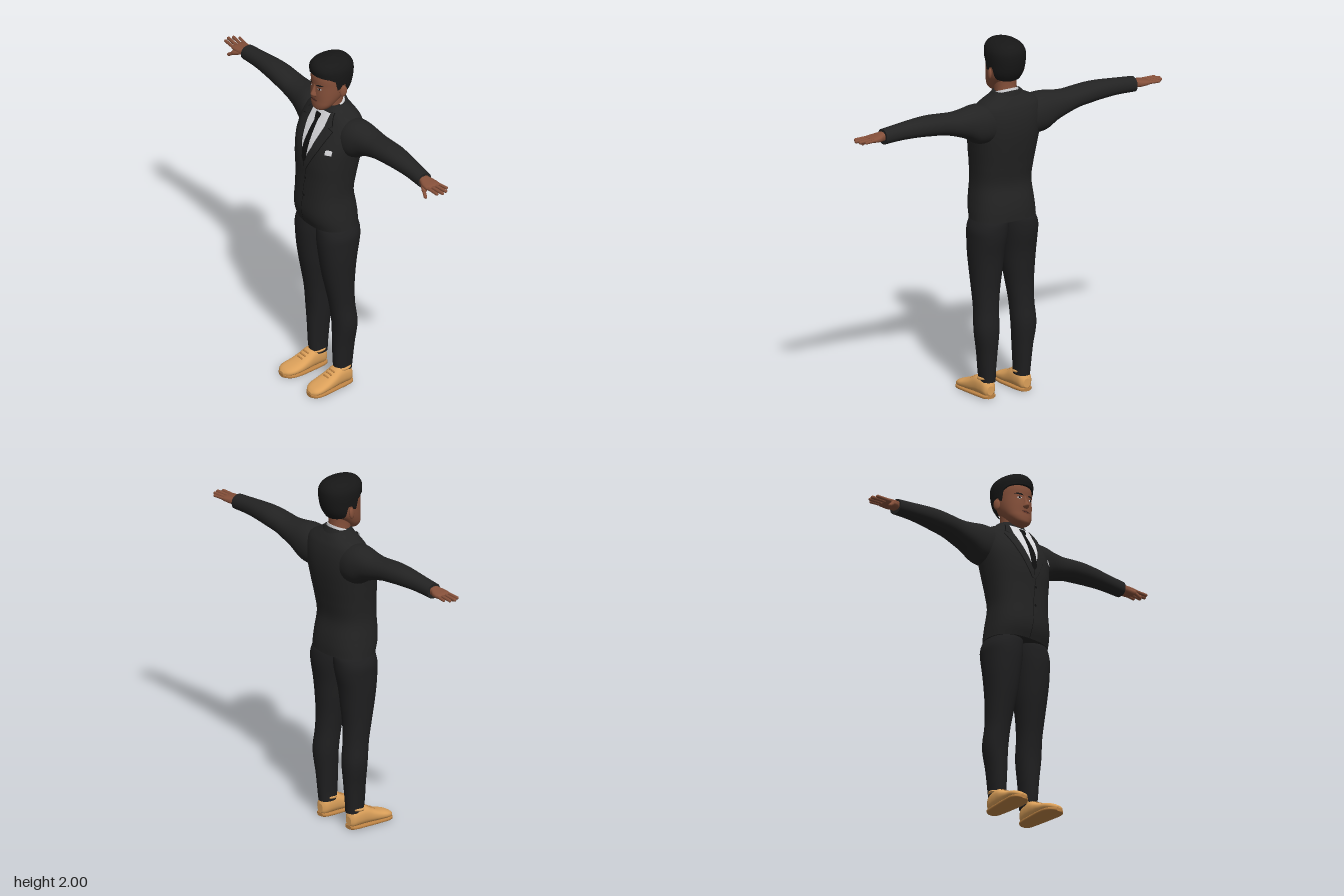
import * as THREE from 'three';

const mat = (name, color) => {
  const m = new THREE.MeshStandardMaterial({ color });
  m.name = name;
  return m;
};

// Smooth interpolation of the columns of a table whose first column is the position
function sample(table, s) {
  let k = 0;
  while (k < table.length - 2 && s > table[k + 1][0]) k++;
  const p = table[k], q = table[k + 1], h = q[0] - p[0];
  const t = Math.min(1, Math.max(0, (s - p[0]) / h));
  const slope = (i, c) => {
    const a = table[Math.max(0, i - 1)], b = table[Math.min(table.length - 1, i + 1)];
    return (b[c] - a[c]) / (b[0] - a[0]);
  };
  const t2 = t * t, t3 = t2 * t;
  return p.map((_, c) => c === 0 ? s :
    (2 * t3 - 3 * t2 + 1) * p[c] + (t3 - 2 * t2 + t) * h * slope(k, c) +
    (3 * t2 - 2 * t3) * q[c] + (t3 - t2) * h * slope(k + 1, c));
}

// Piecewise linear lookup, ascending positions
function linear(table, s, c = 1) {
  let k = 0;
  while (k < table.length - 2 && s > table[k + 1][0]) k++;
  const p = table[k], q = table[k + 1];
  return p[c] + (q[c] - p[c]) * Math.min(1, Math.max(0, (s - p[0]) / (q[0] - p[0])));
}

const AXES = { y: (s, a, b) => [a, s, b], x: (s, a, b) => [s, a, b], z: (s, a, b) => [a, b, s] };

function meshData(pos, idx) {
  const g = new THREE.BufferGeometry();
  g.setAttribute('position', new THREE.Float32BufferAttribute(pos, 3));
  g.setIndex(idx);
  g.computeVertexNormals();
  return g;
}

// Skin over rounded cross-sections; rows are [s, a0, a1, b0, b1]
function loft(table, { axis = 'y', n = 2.2, rows = 40, seg = 40, low = null, shear = 0 } = {}) {
  const pos = [], idx = [], end = table[table.length - 1][0];
  const pw = v => Math.sign(v) * Math.abs(v) ** (2 / n);
  const tri = (a, b, c) => axis === 'y' ? idx.push(a, b, c) : idx.push(a, c, b);
  for (let i = 0; i <= rows; i++) for (let j = 0; j < seg; j++) {
    const t = j / seg * Math.PI * 2;
    const start = low ? low(Math.sin(t)) : table[0][0];
    const [s, a0, a1, b0, b1] = sample(table, start + (end - start) * i / rows);
    const k = low && i === 0 ? 0.45 : 0.5; // tuck a free rim inwards
    const a = (a0 + a1) / 2 + (a1 - a0) * k * pw(Math.cos(t));
    const b = (b0 + b1) / 2 + (b1 - b0) * k * pw(Math.sin(t));
    pos.push(...AXES[axis](s - shear * (b + 0.05), a, b));
  }
  for (let i = 0; i < rows; i++) for (let j = 0; j < seg; j++) {
    const p = i * seg + j, q = i * seg + (j + 1) % seg;
    tri(p, p + seg, q);
    tri(q, p + seg, q + seg);
  }
  // End caps with their own corners
  for (const i of low ? [rows] : [0, rows]) {
    const base = pos.length / 3, mid = [0, 0, 0];
    for (let j = 0; j < seg; j++) for (let c = 0; c < 3; c++) {
      const v = pos[(i * seg + j) * 3 + c];
      pos.push(v);
      mid[c] += v / seg;
    }
    pos.push(...mid);
    for (let j = 0; j < seg; j++) {
      const p = base + j, q = base + (j + 1) % seg;
      i === 0 ? tri(base + seg, p, q) : tri(base + seg, q, p);
    }
  }
  return meshData(pos, idx);
}

// Thin plate laid over the front of a loft; points are [y, xLeft, xRight], top to bottom
function drape(table, n, points, off, side = 1) {
  const pos = [], idx = [], cols = 8, sub = 6, rows = (points.length - 1) * sub;
  for (let i = 0; i <= rows; i++) {
    const k = Math.min(points.length - 2, Math.floor(i / sub)), t = i / sub - k;
    let [y, l, r] = points[k].map((v, c) => v + (points[k + 1][c] - v) * t);
    if (side < 0) [l, r] = [-r, -l];
    const [, x0, x1, z0, z1] = sample(table, y);
    for (let j = 0; j <= cols; j++) {
      const x = l + (r - l) * j / cols;
      const u = Math.min(1, Math.abs((x - (x0 + x1) / 2) / ((x1 - x0) / 2)));
      pos.push(x, y, (z0 + z1) / 2 + (z1 - z0) / 2 * (1 - u ** n) ** (1 / n) + off);
      if (i < rows && j < cols) {
        const p = i * (cols + 1) + j, q = p + cols + 1;
        idx.push(p, q, p + 1, p + 1, q, q + 1);
      }
    }
  }
  return meshData(pos, idx);
}

function mirrored(geo) {
  const g = geo.clone().scale(-1, 1, 1), ix = g.index.array;
  for (let i = 0; i < ix.length; i += 3) [ix[i], ix[i + 1]] = [ix[i + 1], ix[i]];
  g.computeVertexNormals();
  return g;
}

function capsule(a, b, r) {
  const p = new THREE.Vector3(...a), q = new THREE.Vector3(...b), d = q.clone().sub(p);
  const g = new THREE.CapsuleGeometry(r, Math.max(0.001, d.length() - r), 5, 12);
  g.applyQuaternion(new THREE.Quaternion().setFromUnitVectors(new THREE.Vector3(0, 1, 0), d.normalize()));
  return g.translate(...p.add(q).multiplyScalar(0.5).toArray());
}

const sym = rows => rows.map(([y, w, z0, z1]) => [y, -w, w, z0, z1]);

const TORSO = sym([[1, .185, -.155, .115], [1.05, .182, -.155, .133], [1.1, .177, -.15, .14], [1.2, .168, -.135, .135],
  [1.3, .175, -.15, .131], [1.4, .188, -.17, .13], [1.5, .2, -.185, .113], [1.58, .2, -.185, .075],
  [1.64, .185, -.172, .038], [1.67, .15, -.157, .022], [1.695, .1, -.142, .01], [1.715, .08, -.125, 0]]);
const HEAD = sym([[1.695, .022, -.005, .05], [1.705, .045, -.02, .063], [1.73, .067, -.04, .067], [1.76, .08, -.075, .066],
  [1.8, .09, -.125, .067], [1.85, .095, -.148, .065], [1.9, .096, -.158, .065], [1.94, .088, -.15, .05], [1.98, .04, -.1, .0]]);
const HAIR = sym([[1.77, .077, -.118, .06], [1.82, .096, -.148, .065], [1.87, .102, -.163, .07], [1.92, .104, -.168, .074],
  [1.95, .098, -.163, .076], [1.975, .08, -.145, .064], [1.99, .055, -.118, .04], [2, .012, -.06, -.02]]);
const HAIRLINE = [[-1, 1.775], [-.5, 1.785], [-.35, 1.8], [-.22, 1.855], [.02, 1.855], [.08, 1.83], [.22, 1.83],
  [.32, 1.885], [.6, 1.905], [1, 1.915]];
const ARM = [[.1, 1.45, 1.65, -.16, .01], [.17, 1.45, 1.667, -.17, .022], [.22, 1.46, 1.67, -.17, .015], [.28, 1.498, 1.662, -.165, 0],
  [.35, 1.525, 1.656, -.158, -.01], [.42, 1.545, 1.66, -.152, -.012], [.5, 1.555, 1.666, -.148, -.016],
  [.58, 1.562, 1.664, -.14, -.022], [.68, 1.565, 1.655, -.128, -.03], [.795, 1.56, 1.643, -.12, -.033]];
const PALM = [[.77, 1.575, 1.63, -.105, -.045], [.8, 1.58, 1.628, -.105, -.042], [.83, 1.582, 1.622, -.117, -.032],
  [.87, 1.588, 1.616, -.122, -.03], [.885, 1.594, 1.61, -.116, -.035]];
const LEG = [[.09, .068, .15, -.092, .012], [.15, .067, .155, -.097, .018], [.25, .06, .165, -.105, .02], [.38, .05, .184, -.115, .022],
  [.5, .045, .179, -.103, .036], [.6, .033, .182, -.1, .055], [.7, .018, .188, -.107, .075], [.8, .007, .195, -.118, .09],
  [.9, -.005, .198, -.138, .1], [.95, -.01, .197, -.143, .1], [1, -.01, .178, -.14, .095], [1.03, -.01, .16, -.12, .08]];
const SHOE = [[-.087, .095, .135, .02, .07], [-.075, .08, .15, .01, .098], [-.03, .07, .16, .01, .118], [.01, .066, .165, .01, .116],
  [.05, .063, .17, .01, .093], [.1, .06, .175, .01, .07], [.15, .066, .177, .01, .055], [.18, .086, .163, .01, .042], [.192, .11, .14, .016, .03]];

export function createModel() {
  const root = new THREE.Group();
  root.name = 'suitedMan';
  const suit = mat('jacket charcoal', 0x232323), cloth = mat('trouser charcoal', 0x1f1f20), seam = mat('seam black', 0x101010);
  const shirt = mat('shirt white', 0xd9d9dc), skin = mat('skin brown', 0x85503a), lip = mat('lip brown', 0x6b3a2d);
  const hair = mat('hair black', 0x171717), tan = mat('shoe tan', 0xdba05a), sole = mat('sole tan', 0xbd8344);
  const add = (name, geo, m) => {
    const mesh = new THREE.Mesh(geo, m);
    mesh.name = name;
    root.add(mesh);
  };
  const pair = (name, geo, m) => {
    add(name + 'Left', geo, m);
    add(name + 'Right', mirrored(geo), m);
  };
  const both = (name, table, n, pts, off, m) => {
    for (const side of [1, -1]) add(name + (side > 0 ? 'Left' : 'Right'), drape(table, n, pts, off, side), m);
  };

  // Jacket
  add('jacketBody', loft(TORSO, { n: 2.4, rows: 70, seg: 64 }), suit);
  pair('sleeve', loft(ARM, { axis: 'x', rows: 50 }), suit);
  add('jacketCollar', loft(sym([[1.63, .098, -.15, .0], [1.697, .08, -.128, -.005]]), { rows: 4, shear: .4 }), suit);
  const lapel = [[1.69, .07, .085], [1.63, .072, .115], [1.621, .072, .095], [1.61, .071, .13], [1.5, .044, .092], [1.41, .004, .045], [1.35, 0, .012]];
  both('lapelEdge', TORSO, 2.4, lapel.map(([y, l, r]) => [y, l, r + .003]), .0045, seam);
  both('lapel', TORSO, 2.4, lapel, .0075, suit);
  add('frontSeam', drape(TORSO, 2.4, [[1.36, .012, .015], [1.2, -.008, -.005], [1.003, -.018, -.015]], .003, 1), seam);
  for (const [x, y] of [[.012, 1.3], [.005, 1.19]])
    add('jacketButton', drape(TORSO, 2.4, [[y + .008, x - .003, x + .003], [y, x - .008, x + .008], [y - .008, x - .003, x + .003]], .005), seam);
  add('pocketSquare', drape(TORSO, 2.4, [[1.516, .137, .158], [1.508, .13, .164], [1.486, .132, .162]], .006), shirt);

  // Shirt and tie
  add('shirtFront', drape(TORSO, 2.4, [[1.685, -.068, .068], [1.6, -.07, .07], [1.5, -.043, .043], [1.405, -.003, .003]], .004), shirt);
  add('shirtCollar', loft(sym([[1.65, .078, -.12, .028], [1.712, .068, -.114, .014]]), { rows: 6, shear: .4 }), shirt);
  both('collarWing', TORSO, 2.4, [[1.678, .012, .06], [1.645, .02, .064], [1.61, .046, .052]], .009, shirt);
  add('tieBlade', drape(TORSO, 2.4, [[1.645, -.011, .011], [1.5, -.021, .021], [1.42, -.018, .018], [1.4, -.005, .005]], .0095), seam);
  add('tieKnot', drape(TORSO, 2.4, [[1.67, -.02, .02], [1.655, -.021, .021], [1.632, -.012, .012]], .014), seam);

  // Head
  add('neck', loft(sym([[1.62, .064, -.108, .0], [1.7, .059, -.107, .005], [1.76, .06, -.105, .01], [1.82, .065, -.11, .0]]), { rows: 12 }), skin);
  add('head', loft(HEAD, { rows: 50, seg: 48 }), skin);
  add('hair', loft(HAIR, { rows: 44, seg: 96, low: f => linear(HAIRLINE, f) }), hair);
  add('nose', loft(sym([[1.783, .012, .04, .07], [1.792, .019, .04, .085], [1.8, .016, .04, .09], [1.82, .011, .04, .081],
    [1.845, .009, .04, .07], [1.862, .01, .04, .064]]), { n: 2, rows: 20, seg: 20 }), skin);
  pair('ear', new THREE.SphereGeometry(1, 18, 14).scale(.011, .032, .02).rotateY(-.35).rotateX(-.15).translate(.1, 1.818, -.052), skin);
  both('eyebrow', HEAD, 2.2, [[1.866, .03, .052], [1.861, .018, .064], [1.856, .016, .036]], .003, hair);
  both('eyeWhite', HEAD, 2.2, [[1.846, .033, .042], [1.84, .024, .052], [1.834, .032, .044]], .002, shirt);
  both('iris', HEAD, 2.2, [[1.847, .034, .042], [1.84, .032, .044], [1.834, .034, .042]], .0035, seam);
  both('eyelid', HEAD, 2.2, [[1.85, .03, .045], [1.8455, .021, .055]], .004, lip);
  add('lips', drape(HEAD, 2.2, [[1.771, -.008, .008], [1.763, -.027, .027], [1.754, -.014, .014]], .004), lip);
  add('mouthLine', drape(HEAD, 2.2, [[1.764, -.025, .025], [1.762, -.025, .025]], .0055), seam);

  // Hands
  pair('palm', loft(PALM, { axis: 'x', n: 2.6, rows: 20, seg: 28 }), skin);
  for (const [z, x1, z1, r] of [[-.113, .932, -.124, .008], [-.09, .957, -.101, .009], [-.066, .965, -.074, .0095], [-.042, .952, -.046, .009]])
    pair('finger', capsule([.865, 1.603, z], [x1, 1.604, z1], r), skin);
  pair('thumbBase', capsule([.81, 1.602, -.055], [.86, 1.582, -.028], .014), skin);
  pair('thumbTip', capsule([.85, 1.587, -.03], [.887, 1.56, -.017], .0095), skin);

  // Trousers
  pair('trouserLeg', loft(LEG, { rows: 60 }), cloth);

  // Shoes
  pair('shoe', loft(SHOE, { axis: 'z', n: 2.4, rows: 36, seg: 32 }), tan);
  pair('shoeSole', loft(SHOE.map(([z, a, b]) => [z * 1.01, a - .002, b + .002, 0, .02]), { axis: 'z', n: 4, rows: 30, seg: 28 }), sole);
  for (const [z, y] of [[.035, .103], [.055, .092], [.075, .082]])
    pair('lace', capsule([.096, y - .003, z], [.138, y - .003, z], .005), sole);
  pair('shoeOpening', new THREE.TorusGeometry(.042, .008, 8, 28).rotateX(Math.PI / 2 + .12).translate(.112, .108, -.035), tan);

  return root;
}
